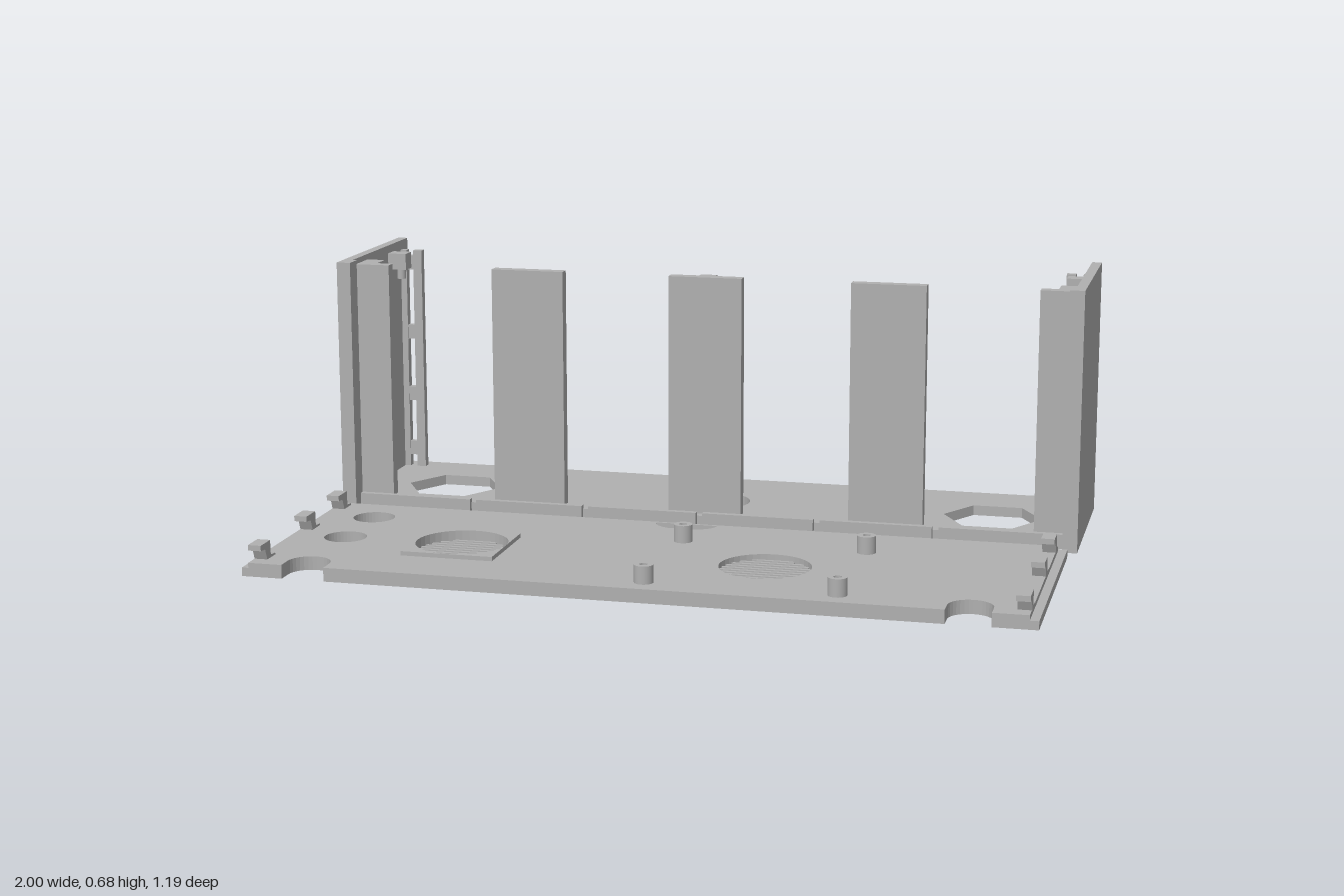
import * as THREE from 'three';

const grey = new THREE.MeshStandardMaterial({ color: 0xb0b0b0 });
grey.name = 'grey plastic';

function add(group, name, geometry) {
  const mesh = new THREE.Mesh(geometry, grey);
  mesh.name = name;
  group.add(mesh);
  return mesh;
}

// Box given by its limits on each axis
function box(group, name, x0, x1, y0, y1, z0, z1) {
  const mesh = add(group, name, new THREE.BoxGeometry(Math.abs(x1 - x0), y1 - y0, z1 - z0));
  mesh.position.set((x0 + x1) / 2, (y0 + y1) / 2, (z0 + z1) / 2);
  return mesh;
}

// Flat slab drawn in plan (x, z), lifted from y0 to y1
function slab(group, name, shape, y0, y1) {
  const g = new THREE.ExtrudeGeometry(shape, { depth: y1 - y0, bevelEnabled: false, curveSegments: 32 });
  g.rotateX(-Math.PI / 2);
  g.translate(0, y0, 0);
  return add(group, name, g);
}

const plan = (pts) => new THREE.Shape(pts.map(([x, z]) => new THREE.Vector2(x, -z)));

function ring(x, z, r, sides = 40) {
  const pts = [];
  for (let i = 0; i < sides; i++) {
    const a = (i / sides) * Math.PI * 2;
    pts.push(new THREE.Vector2(x + r * Math.cos(a), -z - r * Math.sin(a)));
  }
  return new THREE.Path(pts);
}

// Rounded slot open towards the front edge, listed left to right
function slot(x, z, r, edge) {
  const pts = [[x - r, edge]];
  for (let i = 0; i <= 16; i++) {
    const a = Math.PI * (1 - i / 16);
    pts.push([x + r * Math.cos(a), z - r * Math.sin(a)]);
  }
  pts.push([x + r, edge]);
  return pts;
}

const vents = [[-0.513, 0.32, 0.118], [0.275, 0.325, 0.116]];

function plateShape(x0, x1, zBack) {
  const shape = plan([
    [x0, zBack], [x0, 0.597],
    ...slot(-0.835, 0.555, 0.055, 0.597), ...slot(0.815, 0.555, 0.055, 0.597),
    [x1, 0.597], [x1, zBack],
  ]);
  shape.holes.push(ring(-0.835, 0.09, 0.055), ring(-0.835, 0.3, 0.055));
  for (const [x, z, r] of vents) shape.holes.push(ring(x, z, r));
  return shape;
}

function buildLid() {
  const lid = new THREE.Group();
  lid.name = 'lid';
  slab(lid, 'lidOuterLayer', plateShape(-0.995, 0.98, -0.06), 0, 0.022);

  // Inner layer with a half-round recess near the back
  const inner = plateShape(-0.978, 0.958, -0.042);
  const recess = [];
  for (let i = 0; i <= 20; i++) {
    const a = (i / 20) * Math.PI;
    recess.push(new THREE.Vector2(-0.012 + 0.082 * Math.cos(a), 0.034 - 0.055 * Math.sin(a)));
  }
  inner.holes.push(new THREE.Path(recess));
  slab(lid, 'lidInnerLayer', inner, 0.022, 0.035);

  // Vent slats trimmed to the round openings
  for (const [x, z, r] of vents) {
    for (let i = -5; i <= 5; i++) {
      const dz = i * 0.0205;
      const half = Math.sqrt(r * r - dz * dz);
      box(lid, 'ventSlat', x - half, x + half, 0, 0.022, z + dz - 0.005, z + dz + 0.005);
    }
  }

  // Square raised frame around the first vent
  const frame = plan([[-0.635, 0.2], [-0.635, 0.44], [-0.395, 0.44], [-0.395, 0.2]]);
  frame.holes.push(ring(...vents[0]));
  slab(lid, 'ventFrame', frame, 0.035, 0.046);

  // Hollow screw posts
  for (const x of [0.02, 0.495]) for (const z of [0.135, 0.535]) {
    const profile = [[0.01, 0.035], [0.024, 0.035], [0.024, 0.08], [0.01, 0.08], [0.01, 0.035]];
    const flat = profile.slice(1).flatMap((p, i) => [profile[i], p]);
    for (let i = 0; i < flat.length; i += 2) {
      const g = new THREE.LatheGeometry([flat[i], flat[i + 1]].map((p) => new THREE.Vector2(...p)), 24);
      add(lid, 'screwPost', g).position.set(x, 0, z);
    }
  }

  // Hooked snap clips along both short edges
  for (const x of [-0.978, 0.925]) for (const z of [0, 0.228, 0.53]) {
    const clip = new THREE.Shape([
      [-0.025, 0.033], [0.025, 0.033], [0.03, 0.045], [0.038, 0.064], [0.065, 0.066],
      [0.065, 0.08], [0.005, 0.08], [0.003, 0.042], [-0.025, 0.04],
    ].map(([a, b]) => new THREE.Vector2(-a, b)).reverse());
    const g = new THREE.ExtrudeGeometry(clip, { depth: 0.034, bevelEnabled: false });
    g.rotateY(Math.PI / 2);
    add(lid, 'snapClip', g).position.set(x, 0, z);
  }
  return lid;
}

function buildSide(s) {
  const side = new THREE.Group();
  side.name = s > 0 ? 'leftSide' : 'rightSide';
  box(side, 'sideWall', s * 0.974, s, 0, 0.682, -0.597, -0.11);
  box(side, 'wallFrontStrip', s * 0.962, s * 0.974, 0, 0.682, -0.16, -0.11);
  box(side, 'cornerPillar', s * 0.88, s * 0.974, 0.02, 0.667, -0.217, -0.185);

  // Rear guide rail held off the wall by small tabs
  box(side, 'guideRail', s * 0.912, s * 0.937, 0.02, 0.655, -0.562, -0.54);
  box(side, 'guideRailBack', s * 0.957, s * 0.974, 0.02, 0.655, -0.562, -0.54);
  for (const y of [0.06, 0.22, 0.4, 0.6]) {
    box(side, 'railTab', s * 0.937, s * 0.957, y, y + 0.04, -0.56, -0.542);
  }

  // Clip block with a peg at the wall top
  box(side, 'wallClip', s * 0.922, s * 0.974, 0.615, 0.66, -0.482, -0.437);
  const peg = add(side, 'clipPeg', new THREE.CylinderGeometry(0.012, 0.012, 0.03, 20));
  peg.position.set(s * 0.943, 0.602, -0.46);

  // Screw boss tapering down against the wall
  box(side, 'screwBoss', s * 0.924, s * 0.974, 0.6, 0.667, -0.275, -0.217);
  const taper = add(side, 'bossTaper', new THREE.CylinderGeometry(0.036, 0.006, 0.08, 4, 1).rotateY(Math.PI / 4).toNonIndexed());
  taper.geometry.computeVertexNormals();
  taper.position.set(s * 0.949, 0.56, -0.246);
  return side;
}

function buildCase() {
  const body = new THREE.Group();
  body.name = 'caseBody';

  // Floor with two hexagonal openings and one round one
  const floor = plan([[-0.98, -0.597], [-0.98, -0.16], [0.98, -0.16], [0.98, -0.597]]);
  floor.holes.push(ring(-0.754, -0.335, 0.131, 6), ring(0.754, -0.335, 0.131, 6), ring(0, -0.335, 0.09));
  slab(body, 'floor', floor, 0, 0.027);

  // Front lip broken by narrow gaps
  const gaps = [-0.974, -0.638, -0.322, -0.006, 0.312, 0.628, 0.974];
  for (let i = 0; i < gaps.length - 1; i++) {
    box(body, 'frontLip', gaps[i] + 0.009, gaps[i + 1] - 0.009, 0, 0.038, -0.162, -0.145);
  }

  // Front pillars
  for (const x of [-0.489, 0, 0.489]) {
    box(body, 'frontPillar', x - 0.099, x + 0.099, 0.02, 0.667, -0.217, -0.185);
  }

  // Rounded catch behind the middle pillar
  box(body, 'pillarCatch', -0.022, 0.022, 0.6, 0.667, -0.235, -0.217);
  const tip = add(body, 'catchTip', new THREE.CylinderGeometry(0.022, 0.022, 0.018, 20));
  tip.rotation.x = Math.PI / 2;
  tip.position.set(0, 0.6, -0.226);

  body.add(buildSide(1), buildSide(-1));
  return body;
}

export function createModel() {
  const model = new THREE.Group();
  model.name = 'enclosure';
  model.add(buildCase(), buildLid());
  return model;
}
